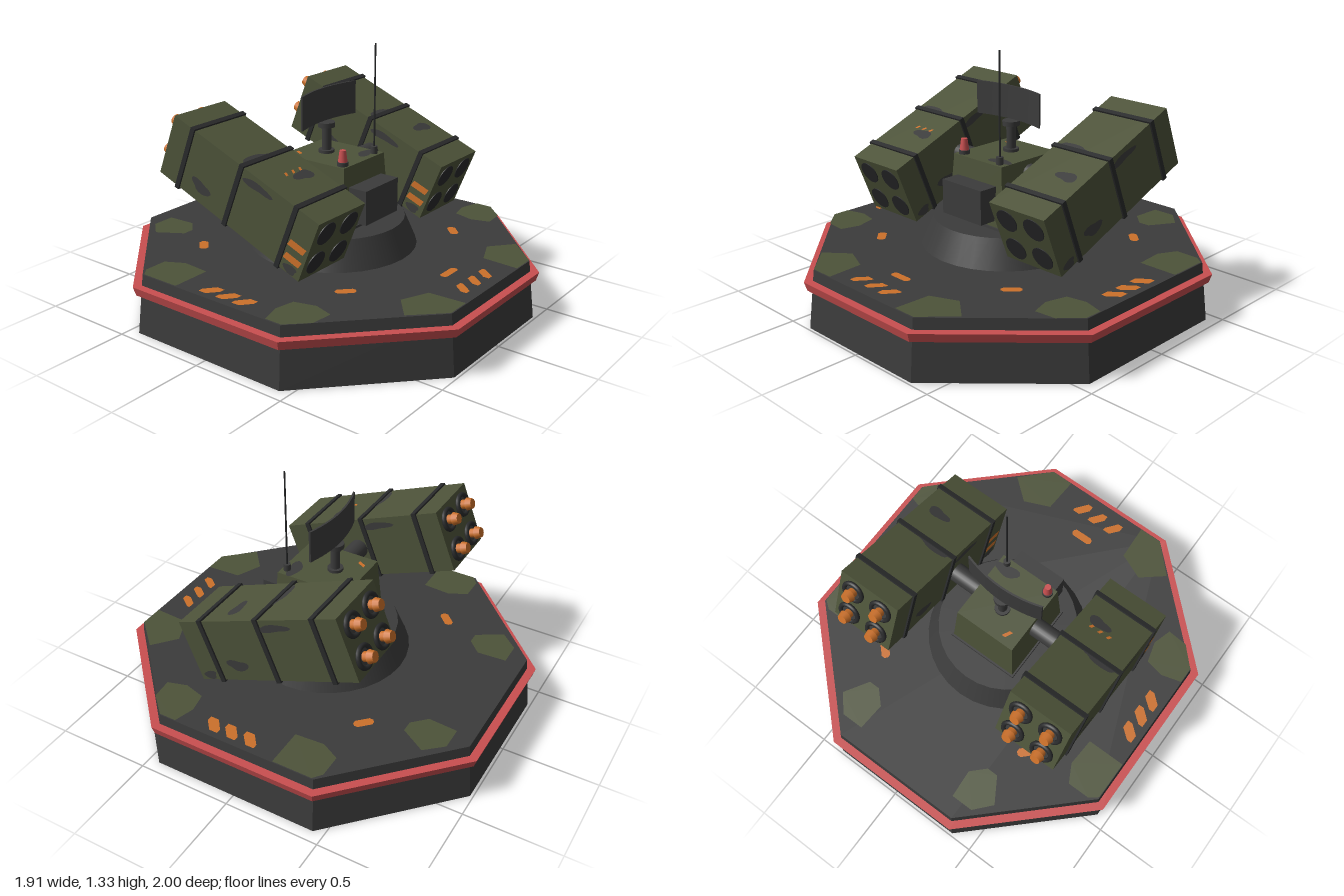
import * as THREE from 'three';

const mat = (name, color, side = THREE.FrontSide) => {
  const m = new THREE.MeshStandardMaterial({ color, side });
  m.name = name;
  return m;
};

export function createModel() {
  const dark = mat('dark grey', 0x3b3b3b);
  const black = mat('charcoal', 0x292a2b);
  const green = mat('olive green', 0x4d5339);
  const red = mat('signal red', 0xc94f50);
  const orange = mat('marking orange', 0xcb702a);

  const root = new THREE.Group();
  root.name = 'launcherTurret';

  const add = (parent, name, geo, material, x = 0, y = 0, z = 0) => {
    const m = new THREE.Mesh(geo, material);
    m.name = name;
    m.position.set(x, y, z);
    parent.add(m);
    return m;
  };
  const box = (w, h, d) => new THREE.BoxGeometry(w, h, d);
  const cyl = (rt, rb, h, n = 24) => new THREE.CylinderGeometry(rt, rb, h, n);

  // Solid between two horizontal outlines with equal point counts, flat shaded
  const frustum = (y0, low, y1, high) => {
    const pos = [];
    const n = low.length;
    const tri = (...p) => p.forEach((v) => pos.push(...v));
    const L = low.map(([x, z]) => [x, y0, z]);
    const H = high.map(([x, z]) => [x, y1, z]);
    for (let i = 0; i < n; i++) {
      const j = (i + 1) % n;
      tri(L[i], L[j], H[j]);
      tri(L[i], H[j], H[i]);
      if (i > 0 && i < n - 1) {
        tri(H[0], H[i], H[i + 1]);
        tri(L[0], L[i + 1], L[i]);
      }
    }
    const g = new THREE.BufferGeometry();
    g.setAttribute('position', new THREE.Float32BufferAttribute(pos, 3));
    g.computeVertexNormals();
    return g;
  };
  // Outlines run from +z towards +x
  const octagon = (hx, hz) => {
    const a = hx * 0.4, b = hz * 0.45;
    return [[-a, hz], [a, hz], [hx, b], [hx, -b], [a, -hz], [-a, -hz], [-hx, -b], [-hx, b]];
  };
  const rect = (hx, z0, z1) => [[-hx, z1], [hx, z1], [hx, z0], [-hx, z0]];

  // Flat painted shapes
  const flat = (pts) => new THREE.ShapeGeometry(new THREE.Shape(pts.map(([x, y]) => new THREE.Vector2(x, y))));
  const blob = (cx, cy, rx, ry, seed) => {
    const pts = [];
    for (let i = 0; i < 18; i++) {
      const a = (i / 18) * Math.PI * 2;
      const k = 1 + 0.18 * Math.sin(2 * a + seed) + 0.14 * Math.sin(3 * a + seed * 2.3);
      pts.push([cx + rx * k * Math.cos(a), cy + ry * k * Math.sin(a)]);
    }
    return flat(pts);
  };
  const pill = (w, h) => {
    const c = h * 0.3, x = w / 2, y = h / 2;
    return flat([[-x, -y + c], [-x + c, -y], [x - c, -y], [x, -y + c], [x, y - c], [x - c, y], [-x + c, y], [-x, y - c]]);
  };

  // Octagonal base with red rim
  const base = new THREE.Group();
  base.name = 'base';
  root.add(base);
  add(base, 'baseBody', frustum(0, octagon(0.94, 0.985), 0.3, octagon(0.908, 0.953)), dark);
  add(base, 'redRim', frustum(0.2, octagon(0.942, 0.987), 0.245, octagon(0.955, 1)), red);

  // Paint on the deck
  const deck = (name, geo, m, x = 0, z = 0, turn = 0) =>
    add(base, name, geo.rotateX(-Math.PI / 2).rotateY(turn), m, x, 0.303, z);
  const patches = [
    [[-0.5, -0.77], [-0.42, -0.86], [-0.3, -0.86], [-0.29, -0.71], [-0.36, -0.64], [-0.42, -0.64]],
    [[-0.905, -0.42], [-0.86, -0.455], [-0.74, -0.455], [-0.69, -0.36], [-0.7, -0.21], [-0.905, -0.21]],
    [[-0.905, 0.34], [-0.8, 0.31], [-0.7, 0.33], [-0.67, 0.44], [-0.7, 0.54], [-0.81, 0.53], [-0.905, 0.43]],
    [[-0.51, 0.8], [-0.39, 0.7], [-0.25, 0.76], [-0.24, 0.95], [-0.365, 0.95]],
  ];
  for (const s of [1, -1]) {
    for (const p of patches) deck('deckPatch', flat(p.map(([x, z]) => [s * x, -z])), green);
    for (const z of [-0.045, 0.06, 0.16]) {
      const p = [[-0.04, -0.045], [-0.015, -0.045], [0.04, 0], [0.04, 0.045], [0.012, 0.045], [-0.04, 0]];
      deck('sideStripe', flat(p.map(([x, d]) => [s * (x - 0.837), -z - d])), orange);
    }
    for (const t of [1, -1]) deck('deckMark', pill(0.1, 0.045), orange, s * 0.47, t * 0.45, s * t * Math.PI / 4);
  }
  for (const x of [-0.11, -0.005, 0.095]) {
    deck('frontStripe', flat([[x - 0.04, -0.9], [x - 0.01, -0.9], [x + 0.04, -0.835], [x + 0.04, -0.82], [x, -0.82], [x - 0.04, -0.87]]), orange);
  }
  deck('frontMark', pill(0.12, 0.04), orange, 0, 0.715);

  // Turntable and pedestal
  add(root, 'turntable', cyl(0.365, 0.43, 0.15, 32), dark, 0, 0.37, 0.02);
  const pedestal = new THREE.Group();
  pedestal.name = 'pedestal';
  root.add(pedestal);
  add(pedestal, 'pedestalBody', frustum(0.44, rect(0.19, -0.2, 0.23), 0.765, rect(0.167, -0.175, 0.21)), green);
  add(pedestal, 'pedestalFoot', frustum(0.44, rect(0.2, -0.21, 0.24), 0.456, rect(0.198, -0.208, 0.238)), dark);
  add(pedestal, 'frontBox', box(0.27, 0.175, 0.13), dark, 0, 0.575, 0.255);
  add(pedestal, 'camoPatch', blob(0.1, -0.15, 0.06, 0.035, 1).rotateX(-Math.PI / 2), dark, 0, 0.768, 0);
  add(pedestal, 'topMark', flat([[-0.12, 0.1], [-0.1, 0.1], [-0.08, 0.14], [-0.1, 0.14]]).rotateX(-Math.PI / 2), orange, 0, 0.768, 0);
  add(pedestal, 'axle', cyl(0.05, 0.05, 0.7).rotateZ(Math.PI / 2), dark, 0, 0.69, 0.017);

  // Radar: a panel bowed backwards on a mast
  add(pedestal, 'mast', cyl(0.024, 0.024, 0.15, 16), dark, 0, 0.835, -0.025);
  add(pedestal, 'mastFoot', cyl(0.04, 0.04, 0.015, 16), dark, 0, 0.772, -0.025);
  add(pedestal, 'mastHead', cyl(0.044, 0.044, 0.025, 16), dark, 0, 0.91, -0.025);
  const panel = box(0.43, 0.17, 0.01, 12, 1, 1);
  const bowed = new THREE.BoxGeometry(0.43, 0.17, 0.01, 12, 1, 1);
  panel.dispose();
  const bp = bowed.attributes.position;
  for (let i = 0; i < bp.count; i++) bp.setZ(i, bp.getZ(i) + 0.036 * (bp.getX(i) / 0.215) ** 2);
  bowed.computeVertexNormals();
  add(pedestal, 'radarPanel', bowed, dark, -0.003, 1.01, -0.042);

  // Antenna and beacon
  add(pedestal, 'antennaFoot', cyl(0.018, 0.018, 0.04, 12), dark, 0.125, 0.783, 0.18);
  add(pedestal, 'antenna', cyl(0.004, 0.005, 0.54, 8), black, 0.125, 1.055, 0.18);
  add(pedestal, 'beaconFoot', cyl(0.028, 0.028, 0.022, 16), dark, -0.13, 0.774, 0.175);
  add(pedestal, 'beacon', cyl(0.016, 0.024, 0.06, 16), red, -0.13, 0.813, 0.175);

  // Launcher pods, tilted up towards the back
  const W = 0.34, H = 0.326, D = 0.926;
  for (const s of [1, -1]) {
    const pod = new THREE.Group();
    pod.name = s > 0 ? 'leftLauncher' : 'rightLauncher';
    pod.position.set(s * 0.498, 0.7125, -0.037);
    pod.rotation.x = 21.8 * Math.PI / 180;
    root.add(pod);
    add(pod, 'podBody', box(W, H, D), green);
    for (const z of [-0.335, -0.012, 0.33]) add(pod, 'podBand', box(W + 0.018, H + 0.018, 0.025), black, 0, 0, z);

    for (const x of [-0.083, 0.083]) {
      for (const y of [-0.083, 0.083]) {
        // Closed tube end at the front, rocket at the back
        add(pod, 'frontCap', cyl(0.06, 0.06, 0.008).rotateX(Math.PI / 2), black, x, y, D / 2);
        const ring = new THREE.TorusGeometry(0.052, 0.012, 8, 24);
        add(pod, 'tubeRing', ring, black, x, y, -D / 2 - 0.008);
        add(pod, 'tubeDisc', cyl(0.05, 0.05, 0.012).rotateX(Math.PI / 2), dark, x, y, -D / 2);
        add(pod, 'rocketNeck', cyl(0.024, 0.024, 0.04, 12).rotateX(Math.PI / 2), orange, x, y, -D / 2 - 0.02);
        add(pod, 'rocketTip', cyl(0.026, 0.034, 0.03, 12).rotateX(-Math.PI / 2), orange, x, y, -D / 2 - 0.05);
      }
    }

    // Camouflage and markings
    const onTop = (name, g, m) => add(pod, name, g.rotateX(-Math.PI / 2), m, 0, H / 2 + 0.003, 0);
    const onSide = (name, g, m, t) => add(pod, name, g.rotateY(t * Math.PI / 2), m, t * (W / 2 + 0.003), 0, 0);
    onTop('camoPatch', blob(0.06, -0.17, 0.055, 0.035, 2), dark);
    onTop('camoPatch', blob(-0.06, 0.03, 0.1, 0.018, 4), dark);
    for (const x of [-0.02, 0.03, 0.08]) {
      if (s < 0) onTop('topMark', flat([[x - 0.012, -0.14], [x + 0.004, -0.14], [x + 0.014, -0.118], [x - 0.002, -0.118]]), orange);
    }
    for (const t of [1, -1]) {
      onSide('camoPatch', blob(0.1, 0.12, 0.08, 0.022, 1), dark, t);
      onSide('camoPatch', blob(-0.2, -0.08, 0.06, 0.03, 3), dark, t);
      onSide('camoPatch', blob(t * -0.4, -0.135, 0.045, 0.02, 5), dark, t);
    }
    for (const y of [-0.01, -0.083]) {
      onSide('sideMark', flat([[0.345, y - 0.018], [0.44, y - 0.018], [0.45, y + 0.018], [0.355, y + 0.018]]), orange, -1);
    }
  }
  return root;
}
